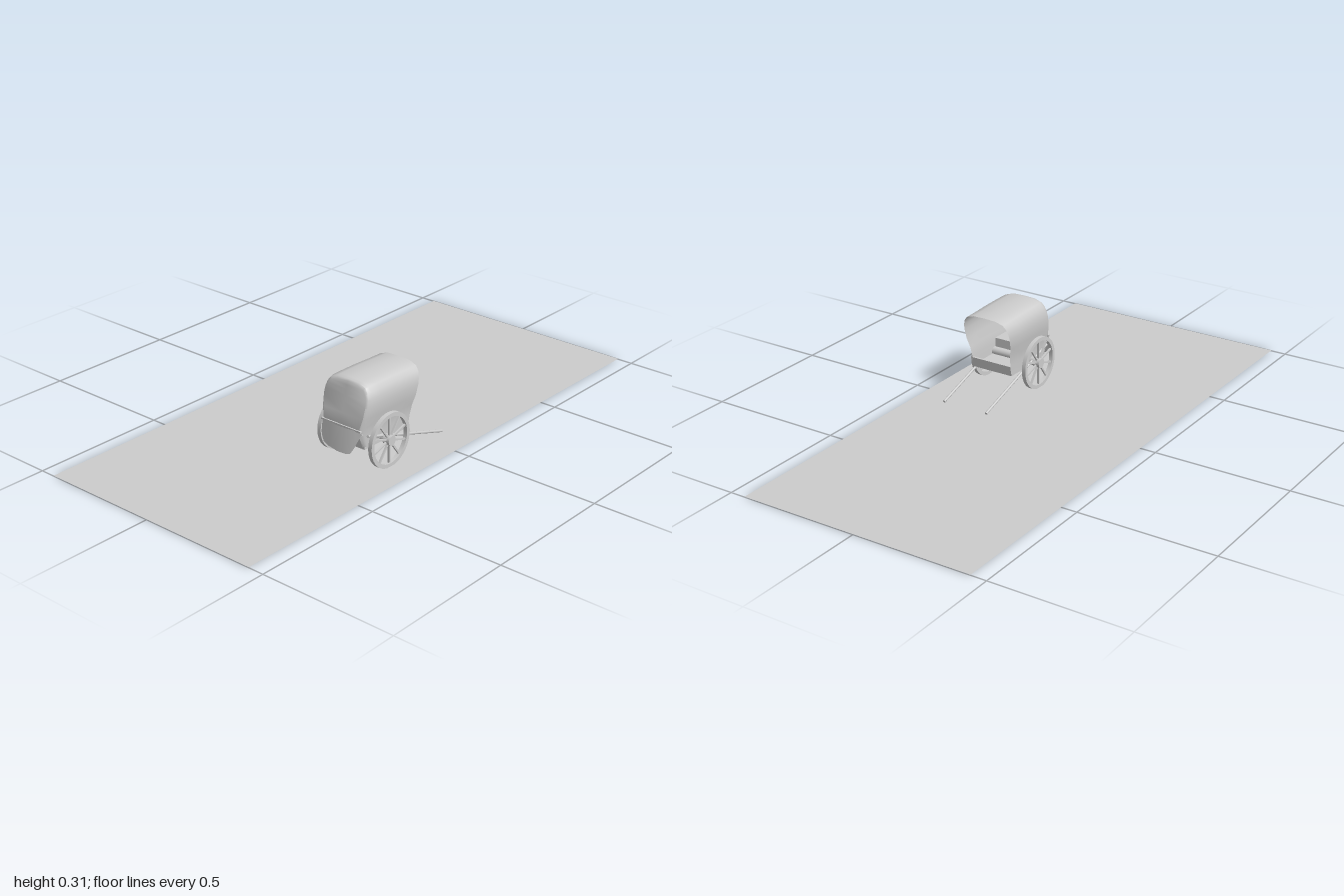
import * as THREE from 'three';
import { toCreasedNormals } from 'three/addons/utils/BufferGeometryUtils.js';

const mat = new THREE.MeshStandardMaterial({ color: 0xcccccc });
const thin = new THREE.MeshStandardMaterial({ color: 0xcccccc, side: THREE.DoubleSide });

function add(parent, name, geo, pos = [0, 0, 0], material = mat) {
  const m = new THREE.Mesh(geo, material);
  m.name = name;
  m.position.set(...pos);
  parent.add(m);
  return m;
}

// Surface through rows of points
function loft(rows) {
  const n = rows[0].length, index = [];
  for (let i = 0; i < rows.length - 1; i++) {
    for (let j = 0; j < n - 1; j++) {
      const a = i * n + j, b = a + n;
      index.push(a, b, a + 1, b, b + 1, a + 1);
    }
  }
  const g = new THREE.BufferGeometry();
  g.setAttribute('position', new THREE.Float32BufferAttribute(rows.flat(2), 3));
  g.setIndex(index);
  return toCreasedNormals(g, 0.7);
}

// Sloped ends of the body at a given height
const backZ = y => 0.1 - (y - 0.085) * 0.23;
const frontZ = y => y > 0.15 ? 0.345 - (y - 0.15) * 0.22 : 0.345 - (0.15 - y) * 0.4;

function makeHood() {
  const half = [[0.082, 0.085], [0.083, 0.13], [0.086, 0.165], [0.095, 0.2], [0.098, 0.24],
    [0.096, 0.265], [0.089, 0.286], [0.077, 0.301], [0.048, 0.311], [0, 0.313]];
  const section = [...half.map(([x, y]) => [-x, y]), ...half.slice(0, -1).reverse()];
  // t along the length, width factor, drop of the roof edge
  const steps = [[0, 1, 0.006], [0.25, 1, 0.004], [0.5, 1, 0.001], [0.75, 1, 0],
    [0.93, 0.99, 0], [0.98, 0.96, 0.002], [1, 0.9, 0.008], [1, 0, 0.008]];
  return loft(steps.map(([t, w, drop]) => section.map(([x, y]) => {
    const yy = y - drop * THREE.MathUtils.smoothstep(y, 0.2, 0.3);
    return [x * w, yy, THREE.MathUtils.lerp(backZ(yy), frontZ(yy), t)];
  })));
}

// Hanging front flap with a ragged lower edge
function makeFlap() {
  const top = 0.158;
  const low = [[-0.082, 0.112], [-0.075, 0.095], [-0.065, 0.082], [-0.04, 0.076],
    [0, 0.071], [0.035, 0.071], [0.052, 0.076], [0.066, 0.1], [0.086, 0.15]];
  const place = (x, y) => [x, y, 0.352 + (top - y) * 0.13 - 1.6 * x * x];
  return loft([0, 0.5, 1].map(t =>
    low.map(([x, y]) => place(x, THREE.MathUtils.lerp(y, top, t)))));
}

function makeWheel() {
  const wheel = new THREE.Group();
  wheel.name = 'wheel';
  const rim = [[0.084, -0.0075], [0.098, -0.0075], [0.098, 0.0075], [0.084, 0.0075], [0.084, -0.0075]]
    .map(p => new THREE.Vector2(...p));
  const rimGeo = toCreasedNormals(new THREE.LatheGeometry(rim, 40), 0.6).rotateZ(Math.PI / 2);
  add(wheel, 'rim', rimGeo);
  add(wheel, 'hub', new THREE.CylinderGeometry(0.018, 0.018, 0.026, 20).rotateZ(Math.PI / 2));
  for (let i = 0; i < 10; i++) {
    const spoke = new THREE.BoxGeometry(0.007, 0.076, 0.006).translate(0, 0.05, 0);
    add(wheel, 'spoke', spoke.rotateX(i * Math.PI / 5));
  }
  return wheel;
}

export function createModel() {
  const model = new THREE.Group();
  model.name = 'cartOnGround';

  // Ground sheet
  add(model, 'groundSheet', new THREE.PlaneGeometry(0.885, 2).rotateX(-Math.PI / 2), [0, 0.002, 0], thin);

  const cart = new THREE.Group();
  cart.name = 'cart';
  cart.position.x = 0.232;
  model.add(cart);

  // Covered body, open at the shaft end
  add(cart, 'hood', makeHood(), [0, 0, 0], thin);
  add(cart, 'frontFlap', makeFlap(), [0, 0, 0], thin);
  add(cart, 'flapRail', new THREE.BoxGeometry(0.17, 0.006, 0.008), [0, 0.158, 0.342]);
  add(cart, 'floor', new THREE.BoxGeometry(0.162, 0.008, 0.22), [0, 0.089, 0.21]);
  add(cart, 'seat', new THREE.BoxGeometry(0.164, 0.008, 0.1), [0, 0.145, 0.285]);
  add(cart, 'seatFront', new THREE.BoxGeometry(0.164, 0.05, 0.006), [0, 0.117, 0.238]);
  const board = add(cart, 'footBoard', new THREE.BoxGeometry(0.164, 0.04, 0.006), [0, 0.105, 0.097]);
  board.rotation.x = -0.22;

  // Axle, wheels and shafts
  add(cart, 'axle', new THREE.CylinderGeometry(0.016, 0.016, 0.23, 20).rotateZ(Math.PI / 2), [0, 0.1, 0.23]);
  for (const side of [-1, 1]) {
    const wheel = makeWheel();
    wheel.position.set(side * 0.111, 0.098, 0.23);
    cart.add(wheel);
    const start = new THREE.Vector3(side * 0.091, 0.135, 0.315);
    const end = new THREE.Vector3(side * 0.091, 0.009, -0.077);
    const shaft = new THREE.CylinderGeometry(0.005, 0.005, start.distanceTo(end), 10).rotateX(Math.PI / 2);
    const mesh = add(cart, 'shaft', shaft, start.clone().lerp(end, 0.5).toArray());
    mesh.rotation.x = -Math.atan2(start.y - end.y, start.z - end.z);
  }
  return model;
}
